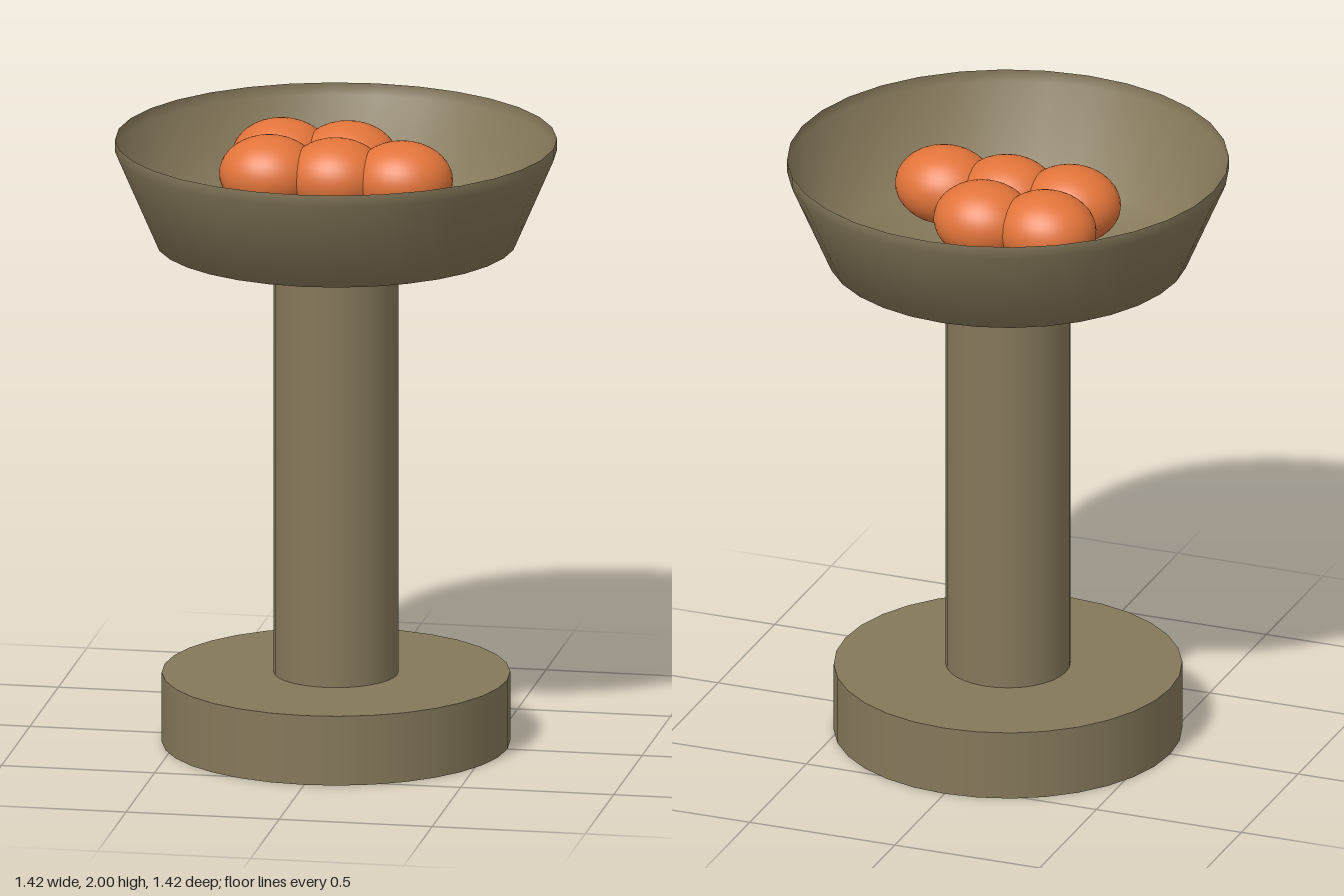
import * as THREE from 'three';

export function createModel() {
  const group = new THREE.Group();
  const stone = new THREE.MeshStandardMaterial({ color: 0x85785a, side: THREE.DoubleSide });
  stone.name = 'olive stone';
  const orange = new THREE.MeshStandardMaterial({ color: 0xe2743a });
  orange.name = 'orange';

  const add = (name, geometry, material, x, y, z) => {
    const mesh = new THREE.Mesh(geometry, material);
    mesh.name = name;
    mesh.position.set(x, y, z);
    group.add(mesh);
    return mesh;
  };

  // Round foot
  add('base', new THREE.CylinderGeometry(0.56, 0.56, 0.23, 32), stone, 0, 0.115, 0);

  // Column, its top standing up inside the bowl
  const columnBottom = 0.23, columnTop = 1.83;
  add('column', new THREE.CylinderGeometry(0.2, 0.2, columnTop - columnBottom, 32), stone,
    0, (columnBottom + columnTop) / 2, 0);

  // Thin open bowl
  const profile = [[0.19, 1.57], [0.58, 1.66], [0.71, 1.96], [0.71, 2]]
    .map(([r, y]) => new THREE.Vector2(r, y));
  add('bowl', new THREE.LatheGeometry(profile, 32), stone, 0, 0, 0);

  // Cluster of slightly flattened balls
  const ballGeometry = new THREE.SphereGeometry(1, 32, 20);
  const step = 0.217;
  for (const [i, j] of [[-1, 0], [0, 0], [1, 0], [-1, -1], [0, -1]]) {
    add('ball', ballGeometry, orange, i * step, 1.875, j * step).scale.set(0.163, 0.125, 0.146);
  }

  return group;
}
